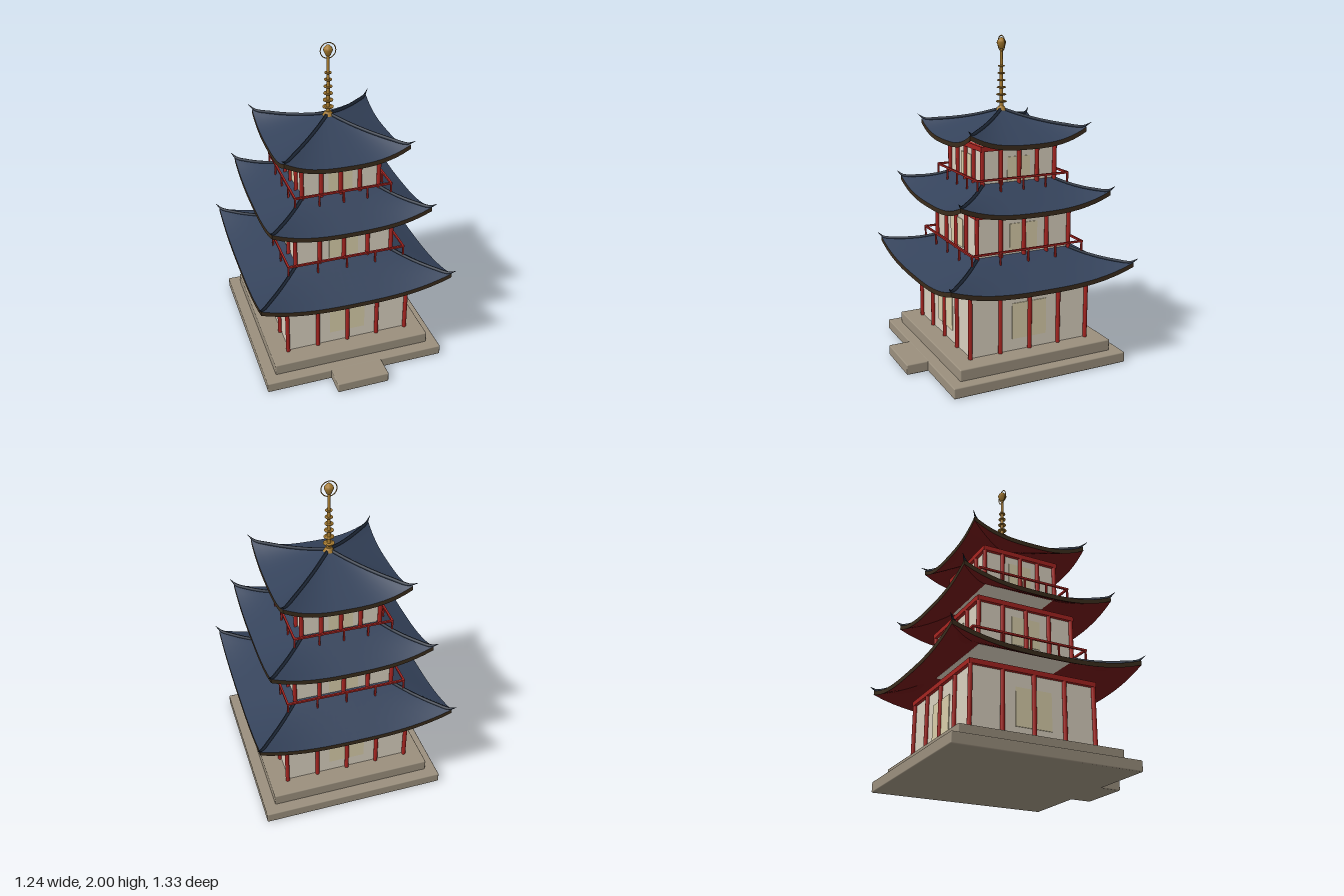
import * as THREE from 'three';
import { RoundedBoxGeometry } from 'three/addons/geometries/RoundedBoxGeometry.js';

const mat = (color, side = THREE.FrontSide) => new THREE.MeshStandardMaterial({ color, side });
const STONE = mat(0x9a8f7d), WALL = mat(0xd8cfbe), WINDOW = mat(0xd8cda9), RED = mat(0xa52420);
const TILE = mat(0x34425a, THREE.DoubleSide), RIDGE = mat(0x1f2938), GOLD = mat(0xa87c30);
const SOFFIT = mat(0x6e1616, THREE.DoubleSide), EAVE = mat(0x3a2c1c, THREE.DoubleSide);

// half: column line, y0-y1: storey height, win: [half width, bottom, top]
// roof: R eave half width, r0 inner half width, eave and top heights
const TIERS = [
  { half: 0.395, y0: 0.135, y1: 0.55, win: [0.115, 0.21, 0.437], roof: { R: 0.6, r0: 0.3, eave: 0.575, top: 0.72 } },
  { half: 0.31, y0: 0.69, y1: 0.99, win: [0.093, 0.73, 0.908], roof: { R: 0.49, r0: 0.23, eave: 1.01, top: 1.15 }, rail: { half: 0.37, y0: 0.68, y1: 0.76 } },
  { half: 0.242, y0: 1.12, y1: 1.375, win: [0.075, 1.15, 1.3], roof: { R: 0.38, r0: 0.005, eave: 1.39, top: 1.555 }, rail: { half: 0.3, y0: 1.105, y1: 1.185 } },
];
const LIFT = 0.08, THICK = 0.028;

function add(parent, name, geometry, material, x = 0, y = 0, z = 0) {
  const mesh = new THREE.Mesh(geometry, material);
  mesh.name = name;
  mesh.position.set(x, y, z);
  parent.add(mesh);
  return mesh;
}

// Four copies of a side, turned about the vertical axis
function fourSides(parent, name, build) {
  for (let i = 0; i < 4; i++) {
    const side = new THREE.Group();
    side.name = name;
    side.rotation.y = i * Math.PI / 2;
    build(side);
    parent.add(side);
  }
}

// Point on the front roof slope: s runs -1..1 along the eave, t runs 0 (inner) to 1 (eave)
function roofPoint({ R, r0, eave, top }, s, t) {
  const r = r0 + (R - r0) * t;
  const y = eave + (top - eave) * Math.pow(1 - t, 1.05) + LIFT * Math.pow(Math.abs(s), 2.8) * Math.pow(t, 1.8);
  return new THREE.Vector3(s * r, y, r);
}

// A grid of quads bent by a rule of u and v (both 0..1)
function bentGrid(nu, nv, rule) {
  const g = new THREE.PlaneGeometry(1, 1, nu, nv);
  const p = g.attributes.position;
  for (let i = 0; i < p.count; i++) {
    const q = rule(p.getX(i) + 0.5, 0.5 - p.getY(i));
    p.setXYZ(i, q.x, q.y, q.z);
  }
  g.computeVertexNormals();
  return g;
}

// Hip ridge that narrows into an upturned tip
function hipRidge(roof) {
  const pts = [0, 0.25, 0.5, 0.75, 0.95].map(t => roofPoint(roof, 1, t));
  const c = roofPoint(roof, 1, 1);
  pts.push(new THREE.Vector3(c.x + 0.019, c.y + 0.028, c.z + 0.019));
  const curve = new THREE.CatmullRomCurve3(pts);
  const n = 30, m = 8;
  const g = new THREE.TubeGeometry(curve, n, 0.011, m);
  const p = g.attributes.position, v = new THREE.Vector3();
  for (let i = 0; i < p.count; i++) {
    const u = Math.floor(i / (m + 1)) / n;
    const k = u < 0.85 ? 1 : 1 - 0.9 * (u - 0.85) / 0.15;
    const mid = curve.getPointAt(u);
    v.fromBufferAttribute(p, i).sub(mid).multiplyScalar(k).add(mid);
    p.setXYZ(i, v.x, v.y, v.z);
  }
  g.computeVertexNormals();
  return g;
}

function buildRoof(roof) {
  const group = new THREE.Group();
  group.name = 'roof';
  const drop = new THREE.Vector3(0, -THICK, 0);
  const tiles = bentGrid(18, 8, (u, v) => roofPoint(roof, u * 2 - 1, v));
  const soffit = bentGrid(18, 8, (u, v) => roofPoint(roof, 1 - u * 2, v).add(drop));
  const board = bentGrid(18, 1, (u, v) => roofPoint(roof, u * 2 - 1, 1).addScaledVector(drop, v));
  const ridge = hipRidge(roof);
  fourSides(group, 'roofSide', side => {
    add(side, 'roofTiles', tiles, TILE);
    add(side, 'soffit', soffit, SOFFIT);
    add(side, 'eaveBoard', board, EAVE);
    add(side, 'hipRidge', ridge, RIDGE);
  });
  return group;
}

function buildStorey({ half, y0, y1, win: [w, b, t] }) {
  const group = new THREE.Group();
  group.name = 'storey';
  const h = y1 - y0, wall = half - 0.008;
  add(group, 'walls', new THREE.BoxGeometry(wall * 2, h, wall * 2), WALL, 0, y0 + h / 2, 0);
  const column = new THREE.CylinderGeometry(0.013, 0.013, h, 12);
  fourSides(group, 'storeySide', side => {
    for (let i = 0; i < 4; i++) add(side, 'column', column, RED, half * (i / 2 - 1), y0 + h / 2, half);
    add(side, 'topBeam', new THREE.BoxGeometry(half * 2 + 0.026, 0.03, 0.026), RED, 0, y1 - 0.015, half);
    add(side, 'windowPanel', new THREE.BoxGeometry(w * 2, t - b, 0.01), WINDOW, 0, (b + t) / 2, wall);
  });
  return group;
}

function buildRailing({ half, y0, y1 }) {
  const group = new THREE.Group();
  group.name = 'railing';
  const post = new THREE.BoxGeometry(0.01, y1 - y0, 0.01);
  fourSides(group, 'railingSide', side => {
    for (let i = 0; i < 4; i++) add(side, 'railPost', post, RED, half * (i / 2 - 1), (y0 + y1) / 2, half);
    add(side, 'handRail', new THREE.BoxGeometry(half * 2 + 0.012, 0.012, 0.012), RED, 0, y1, half);
  });
  return group;
}

function buildSpire() {
  const group = new THREE.Group();
  group.name = 'spire';
  add(group, 'spirePole', new THREE.CylinderGeometry(0.008, 0.013, 0.42, 12), GOLD, 0, 1.74, 0);
  add(group, 'spireBase', new THREE.CylinderGeometry(0.018, 0.034, 0.025, 16), GOLD, 0, 1.56, 0);
  // Rings grow smaller towards the top
  for (let i = 0; i < 6; i++) {
    const ring = add(group, 'spireRing', new THREE.TorusGeometry(0.028 - i * 0.0025, 0.006, 8, 20), GOLD, 0, 1.6 + i * 0.043, 0);
    ring.rotation.x = Math.PI / 2;
    ring.scale.z = 0.8;
    add(group, 'ringDisc', new THREE.CylinderGeometry(0.026 - i * 0.0025, 0.026 - i * 0.0025, 0.005, 16), GOLD, 0, 1.6 + i * 0.043, 0);
  }
  const jewel = [[0, -0.036], [0.014, -0.03], [0.029, 0.004], [0.024, 0.018], [0.01, 0.032], [0, 0.036]];
  add(group, 'jewel', new THREE.LatheGeometry(jewel.map(p => new THREE.Vector2(...p)), 12), GOLD, 0, 1.95, 0);
  add(group, 'halo', new THREE.TorusGeometry(0.047, 0.003, 8, 32), GOLD, 0, 1.95, 0);
  return group;
}

export function createModel() {
  const model = new THREE.Group();
  model.name = 'pagoda';
  const tower = new THREE.Group();
  tower.name = 'tower';
  tower.position.z = -0.047;
  model.add(tower);

  // Stone platform with a front step
  add(tower, 'lowerPlatform', new RoundedBoxGeometry(1.155, 0.066, 1.155, 2, 0.007), STONE, 0, 0.033, 0);
  add(tower, 'upperPlatform', new RoundedBoxGeometry(1.016, 0.075, 1.016, 2, 0.007), STONE, 0, 0.0985, 0);
  add(tower, 'frontStep', new RoundedBoxGeometry(0.333, 0.065, 0.18, 2, 0.007), STONE, 0, 0.0325, 0.622);

  for (const tier of TIERS) {
    tower.add(buildStorey(tier), buildRoof(tier.roof));
    if (tier.rail) tower.add(buildRailing(tier.rail));
  }
  tower.add(buildSpire());
  return model;
}
